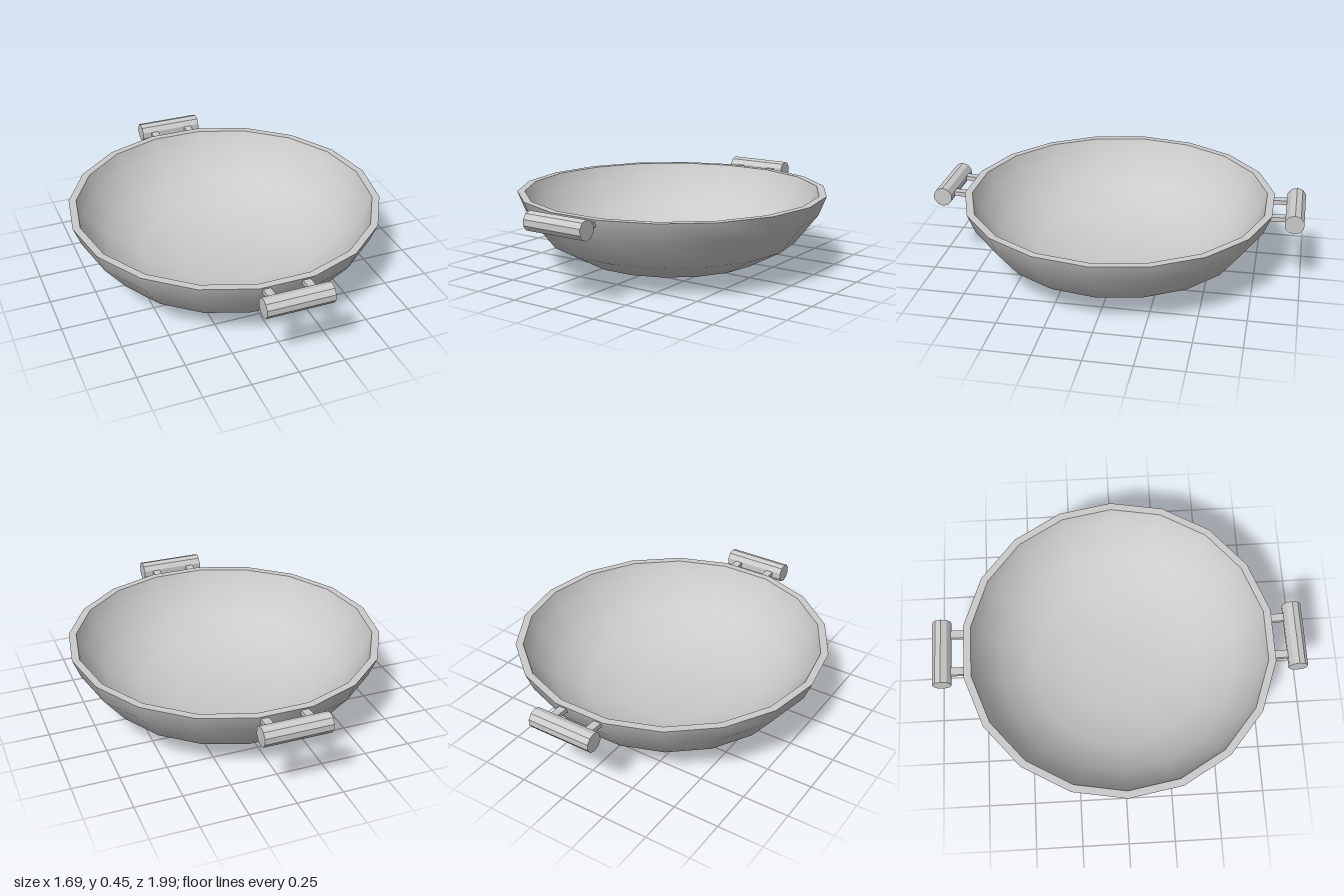
import * as THREE from 'three';

const SIDES = 18;
const smooth = new THREE.MeshStandardMaterial({ color: 0xcccccc });
const flat = new THREE.MeshStandardMaterial({ color: 0xcccccc, flatShading: true });

// Surface of revolution with a corner on the x axis
function turned(name, profile, material) {
  const points = profile.map(([r, y]) => new THREE.Vector2(r, y));
  const mesh = new THREE.Mesh(new THREE.LatheGeometry(points, SIDES, Math.PI / 2), material);
  mesh.name = name;
  return mesh;
}

// Grip bar on two short sloping brackets, reaching out along +z
function createHandle(name) {
  const handle = new THREE.Group();
  handle.name = name;

  const grip = new THREE.Mesh(new THREE.CylinderGeometry(0.052, 0.052, 0.355, 10), flat);
  grip.name = 'grip';
  grip.rotation.set(0, 0, Math.PI / 2);
  // a corner of the ten-sided bar points straight up
  grip.geometry.rotateY(Math.PI / 2);
  grip.position.set(0, 0.402, 0.948);
  handle.add(grip);

  for (const side of [-1, 1]) {
    const geometry = new THREE.BoxGeometry(0.042, 0.026, 0.14);
    // narrow the bracket toward the grip
    const pos = geometry.attributes.position;
    for (let i = 0; i < pos.count; i++) {
      if (pos.getZ(i) > 0) pos.setY(i, pos.getY(i) * 0.8);
    }
    const bracket = new THREE.Mesh(geometry, flat);
    bracket.name = 'bracket';
    bracket.position.set(side * 0.105, 0.402, 0.872);
    bracket.rotation.x = -0.06;
    handle.add(bracket);
  }
  return handle;
}

export function createModel() {
  const model = new THREE.Group();
  model.name = 'twoHandledPan';

  // Bowl: outside, flat rim and inside
  model.add(turned('bowlOutside',
    [[0, 0], [0.26, 0], [0.5, 0.063], [0.68, 0.163], [0.803, 0.322], [0.843, 0.425]], smooth));
  model.add(turned('rim', [[0.843, 0.425], [0.803, 0.425]], flat));
  model.add(turned('bowlInside',
    [[0.803, 0.425], [0.765, 0.335], [0.652, 0.193], [0.485, 0.1], [0.255, 0.04], [0, 0.04]], smooth));

  // Handles at front and back
  const front = createHandle('frontHandle');
  const back = createHandle('backHandle');
  back.rotation.y = Math.PI;
  model.add(front, back);

  return model;
}
